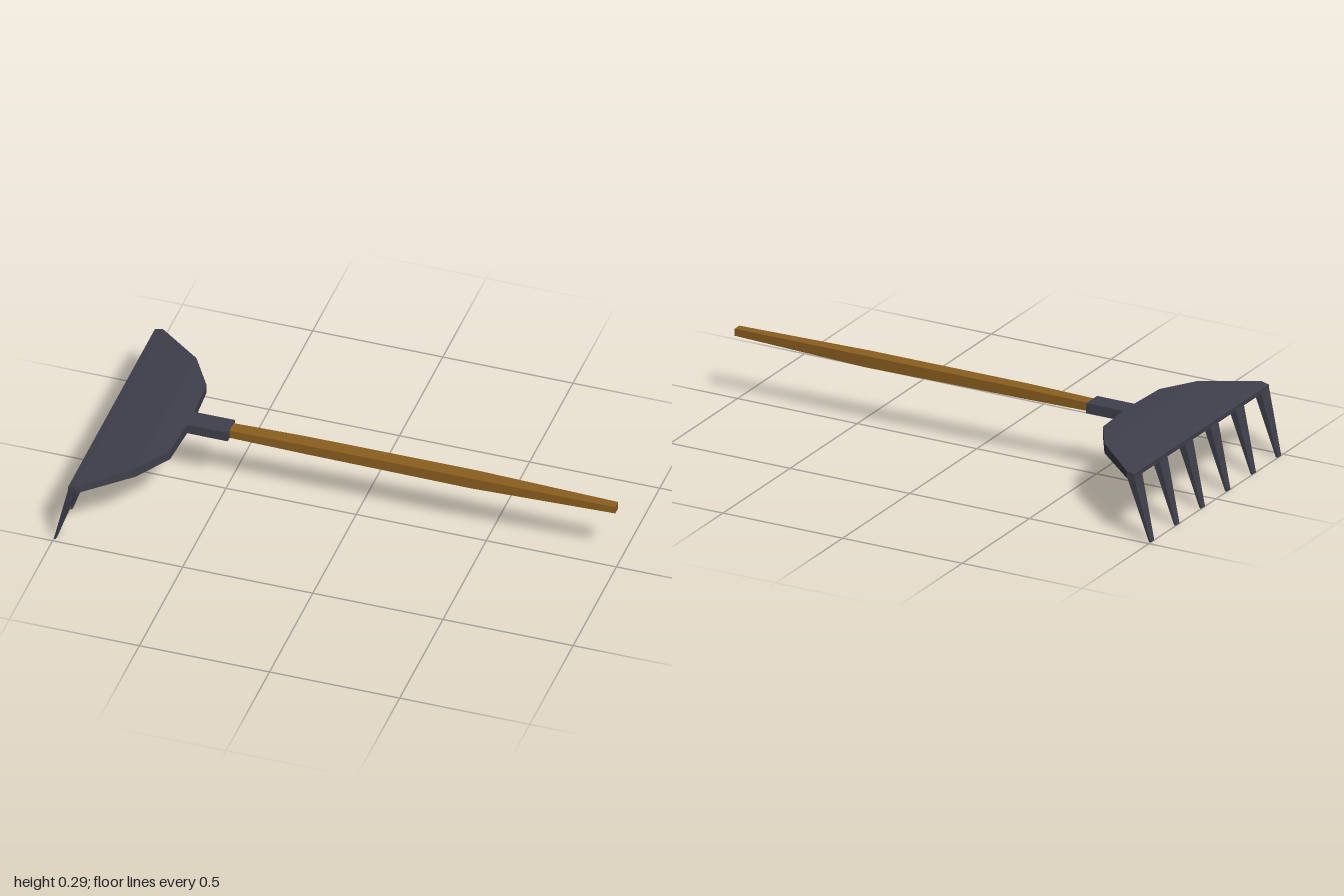
import * as THREE from 'three';

const metal = new THREE.MeshStandardMaterial({ color: 0x40404d, flatShading: true });
const wood = new THREE.MeshStandardMaterial({ color: 0x8b5f1f, flatShading: true });

// Joins a row of four-cornered rings into a closed, flat-shaded solid
function loft(rings) {
  const index = [];
  for (let r = 0; r < rings.length - 1; r++) {
    for (let k = 0; k < 4; k++) {
      const a = r * 4 + k, b = r * 4 + (k + 1) % 4, c = b + 4, d = a + 4;
      index.push(a, d, c, a, c, b);
    }
  }
  const e = (rings.length - 1) * 4;
  index.push(0, 1, 2, 0, 2, 3, e, e + 2, e + 1, e, e + 3, e + 2);
  const geo = new THREE.BufferGeometry();
  geo.setAttribute('position', new THREE.Float32BufferAttribute(rings.flat(2), 3));
  geo.setIndex(index);
  const flat = geo.toNonIndexed();
  flat.computeVertexNormals();
  return flat;
}

// Ring across the x axis: bottom, top, half width, z centre
const ringX = (x, lo, hi, w, z = 0) =>
  [[x, hi, z + w], [x, hi, z - w], [x, lo, z - w], [x, lo, z + w]];

// Ring across the y axis: back and front x, half width, z centre
const ringY = (y, x0, x1, w, z) =>
  [[x0, y, z + w], [x0, y, z - w], [x1, y, z - w], [x1, y, z + w]];

export function createModel() {
  const group = new THREE.Group();
  const add = (name, rings, material) => {
    const mesh = new THREE.Mesh(loft(rings), material);
    mesh.name = name;
    group.add(mesh);
  };

  // Bent head plate, narrowing toward the handle
  add('headPlate', [
    ringX(-0.94, 0.245, 0.262, 0.5),
    ringX(-0.91, 0.24, 0.268, 0.503),
    ringX(-0.73, 0.25, 0.288, 0.35),
    ringX(-0.645, 0.25, 0.288, 0.21),
    ringX(-0.635, 0.25, 0.288, 0.04),
  ], metal);

  // Socket that holds the handle
  add('socket', [
    ringX(-0.645, 0.249, 0.288, 0.041),
    ringX(-0.48, 0.249, 0.288, 0.041),
  ], metal);

  // Six tapered tines, leaning outward
  for (const side of [-1, 1]) {
    for (const z of [0.095, 0.285, 0.473]) {
      add('tine', [
        ringY(0, -1, -0.992, 0.013, side * z),
        ringY(0.24, -0.942, -0.912, 0.029, side * z),
        ringY(0.256, -0.939, -0.912, 0.029, side * z),
      ], metal);
    }
  }

  // Slightly uneven wooden handle
  add('handle', [
    ringX(-0.5, 0.252, 0.284, 0.024, -0.002),
    ringX(-0.2, 0.249, 0.288, 0.027, -0.003),
    ringX(0.45, 0.243, 0.288, 0.027, -0.005),
    ringX(1, 0.254, 0.282, 0.017, -0.004),
  ], wood);

  return group;
}
